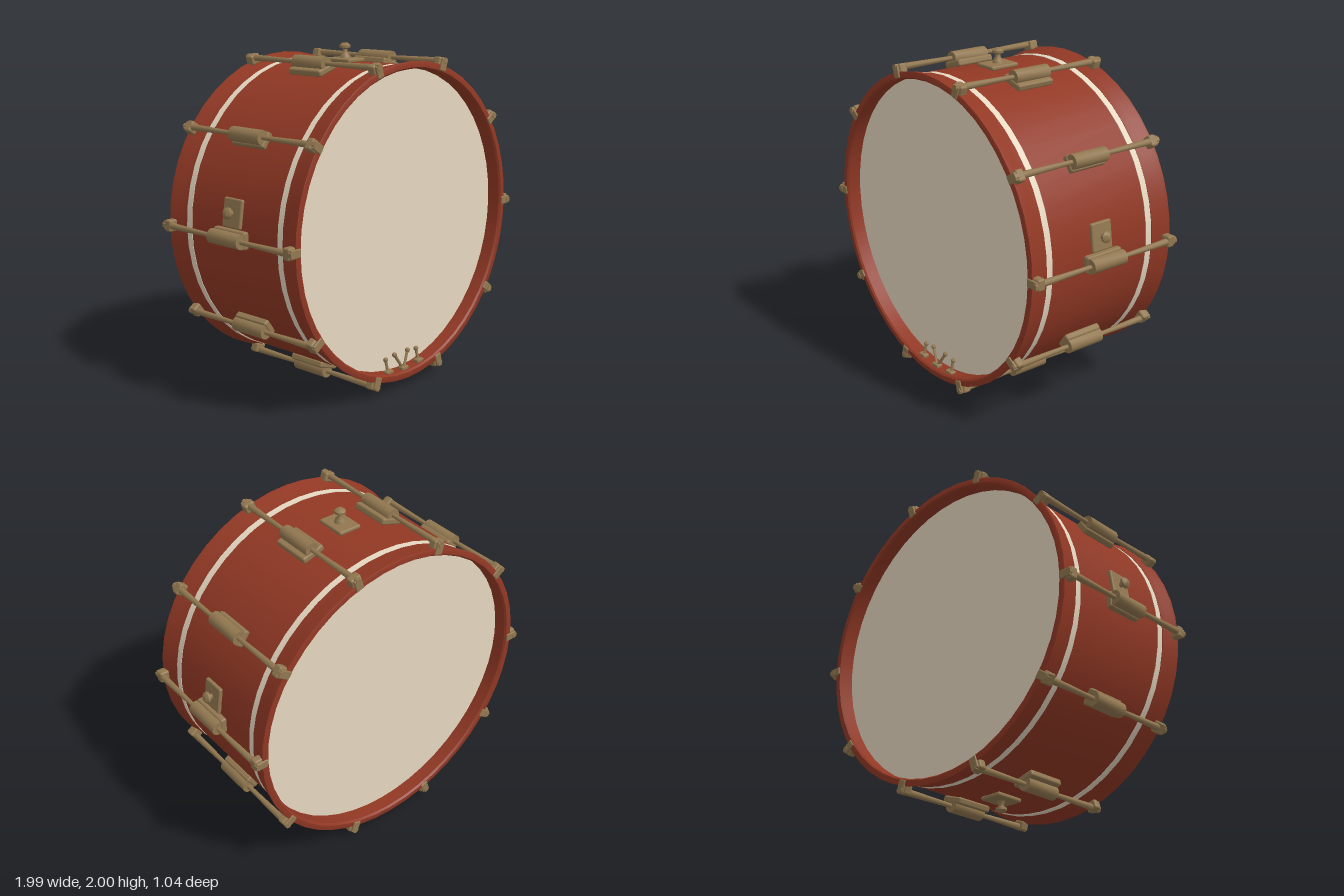
import * as THREE from 'three';
import { toCreasedNormals } from 'three/addons/utils/BufferGeometryUtils.js';
import { RoundedBoxGeometry } from 'three/addons/geometries/RoundedBoxGeometry.js';

const red = new THREE.MeshStandardMaterial({ color: 0x913824 });
red.name = 'red lacquer';
const cream = new THREE.MeshStandardMaterial({ color: 0xe6d8c1 });
cream.name = 'cream skin';
const brass = new THREE.MeshStandardMaterial({ color: 0x917750 });
brass.name = 'aged brass';

function add(parent, name, geometry, material, x = 0, y = 0, z = 0) {
  const mesh = new THREE.Mesh(geometry, material);
  mesh.name = name;
  mesh.position.set(x, y, z);
  parent.add(mesh);
  return mesh;
}

// Turned part around the z axis; points are [radius, z]
function turned(points, segments = 48) {
  const g = new THREE.LatheGeometry(points.map(([r, z]) => new THREE.Vector2(r, z)), segments);
  return toCreasedNormals(g.rotateX(Math.PI / 2), 0.6);
}

// Group whose local +x points outward from the drum at the given angle
function radialGroup(parent, name, degrees) {
  const g = new THREE.Group();
  g.name = name;
  g.rotation.z = THREE.MathUtils.degToRad(degrees);
  parent.add(g);
  return g;
}

// Tension lug with its long rod and a claw at each hoop
function addLug(parent, degrees, plateWidth) {
  const lug = radialGroup(parent, 'tensionLug', degrees);
  add(lug, 'lugPlate', new RoundedBoxGeometry(0.04, plateWidth, 0.25, 2, 0.012), brass, 0.92);
  const body = new THREE.CylinderGeometry(0.043, 0.043, 0.24, 12).rotateX(Math.PI / 2);
  add(lug, 'lugBody', toCreasedNormals(body, 0.7), brass, 0.953);
  for (const s of [1, -1]) {
    const rod = new THREE.CylinderGeometry(0.021, 0.013, 0.38, 8).rotateX(s * Math.PI / 2);
    add(lug, 'tensionRod', rod, brass, 0.957, 0, s * 0.305);
    add(lug, 'claw', new RoundedBoxGeometry(0.06, 0.07, 0.05, 2, 0.012), brass, 0.947, 0, s * 0.48);
    add(lug, 'clawHook', new RoundedBoxGeometry(0.075, 0.05, 0.016, 2, 0.006), brass, 0.935, 0, s * 0.511);
    const nut = new THREE.CylinderGeometry(0.02, 0.02, 0.035, 6).rotateX(Math.PI / 2);
    add(lug, 'rodNut', toCreasedNormals(nut, 0.5), brass, 0.96, 0, s * 0.505);
  }
}

// Square plate with a stem and round knob
function addMount(parent, degrees, reach, width, length) {
  const mount = radialGroup(parent, 'knobMount', degrees);
  add(mount, 'mountPlate', new RoundedBoxGeometry(0.025, width, length, 2, 0.01), brass, 0.91);
  const profile = [[0, 0], [0.034, 0], [0.026, 0.02], [0.015, 0.035], [0.015, 0.05],
    [0.033, 0.058], [0.033, 0.072], [0.018, 0.085], [0, 0.087]];
  const g = new THREE.LatheGeometry(profile.map(([r, h]) => new THREE.Vector2(r, h)), 12);
  add(mount, 'mountKnob', toCreasedNormals(g.rotateZ(-Math.PI / 2), 0.8), brass, reach - 0.087);
}

export function createModel() {
  const model = new THREE.Group();
  model.name = 'bassDrum';
  const drum = new THREE.Group();
  drum.name = 'drum';
  drum.position.y = 0.99;
  model.add(drum);

  // Shell between the two skins
  add(drum, 'shell', turned([[0.903, -0.35], [0.903, 0.35]]), red);

  // Flat skin, its collar outside, and the flared hoop, at each end
  const collar = turned([[0.9, 0.347], [0.906, 0.347], [0.906, 0.392], [0.89, 0.394]]);
  const skin = new THREE.CircleGeometry(0.889, 48);
  const hoop = turned([[0.888, 0.388], [0.908, 0.388], [0.916, 0.44], [0.93, 0.49], [0.932, 0.508],
    [0.926, 0.511], [0.897, 0.511], [0.888, 0.5], [0.888, 0.388]]);
  for (const [side, angle] of [['front', 0], ['back', Math.PI]]) {
    const end = new THREE.Group();
    end.name = side + 'End';
    end.rotation.y = angle;
    drum.add(end);
    add(end, side + 'Collar', collar, cream);
    add(end, side + 'Skin', skin, cream, 0, 0, 0.42);
    add(end, side + 'Hoop', hoop, red);
  }

  // Ten lugs around the shell, with wider plates near the top and bottom
  for (const a of [0, 35, 145, 180, 215, 325]) addLug(drum, a, 0.1);
  for (const a of [72.5, 107.5, 252.5, 287.5]) addLug(drum, a, 0.145);

  // Knob mounts on the top, bottom and both sides
  addMount(drum, 90, 1.01, 0.145, 0.19);
  addMount(drum, 270, 0.99, 0.145, 0.19);
  addMount(drum, 8.5, 0.975, 0.165, 0.145);
  addMount(drum, 171.5, 0.975, 0.165, 0.145);

  // Small prongs at the foot of the front skin
  const prongs = new THREE.Group();
  prongs.name = 'footProngs';
  drum.add(prongs);
  for (const [x0, y0, x1, y1] of [[-0.14, -0.88, -0.14, -0.8], [0.14, -0.88, 0.14, -0.8],
    [0, -0.89, -0.06, -0.79], [0, -0.89, 0.06, -0.79]]) {
    const path = new THREE.LineCurve3(new THREE.Vector3(x0, y0, 0.47), new THREE.Vector3(x1, y1, 0.45));
    add(prongs, 'prong', new THREE.TubeGeometry(path, 1, 0.009, 6), brass);
    add(prongs, 'prongTip', new THREE.SphereGeometry(0.015, 8, 6), brass, x1, y1, 0.45);
  }
  for (const x of [-0.14, 0, 0.14]) {
    add(prongs, 'prongFoot', new RoundedBoxGeometry(0.06, 0.025, 0.04, 2, 0.008), brass, x, x ? -0.87 : -0.88, 0.47);
  }
  return model;
}
